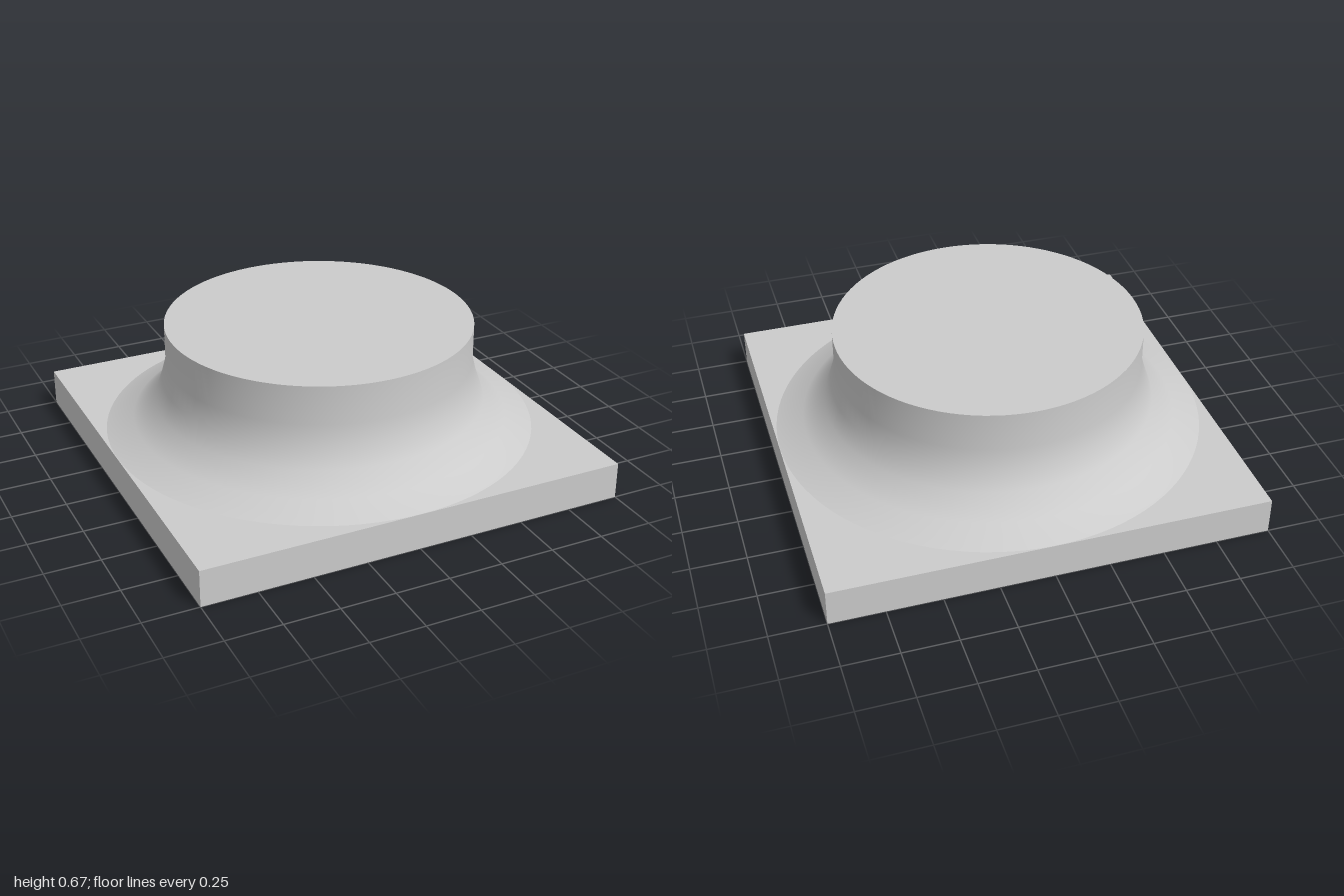
import * as THREE from 'three';

const SEGMENTS = 96;
const BASE_HEIGHT = 0.17;
const TOP = 0.672;
const RADIUS = 0.71;

export function createModel() {
  const group = new THREE.Group();
  const material = new THREE.MeshStandardMaterial({ color: 0xcccccc });
  const add = (name, geometry) => {
    const mesh = new THREE.Mesh(geometry, material);
    mesh.name = name;
    group.add(mesh);
    return mesh;
  };

  // Square base slab
  add('basePlate', new THREE.BoxGeometry(2, BASE_HEIGHT, 2)).position.y = BASE_HEIGHT / 2;

  // Flared foot sweeping up into the straight collar
  const profile = [
    [0.998, BASE_HEIGHT], [0.87, 0.222], [0.768, 0.305],
    [0.733, 0.405], [RADIUS, 0.492], [RADIUS, TOP],
  ].map(([x, y]) => new THREE.Vector2(x, y));
  add('flaredCollar', new THREE.LatheGeometry(profile, SEGMENTS));

  // Flat disc closing the collar
  const cap = new THREE.CircleGeometry(RADIUS, SEGMENTS).rotateX(-Math.PI / 2);
  add('topCap', cap).position.y = TOP;

  return group;
}
